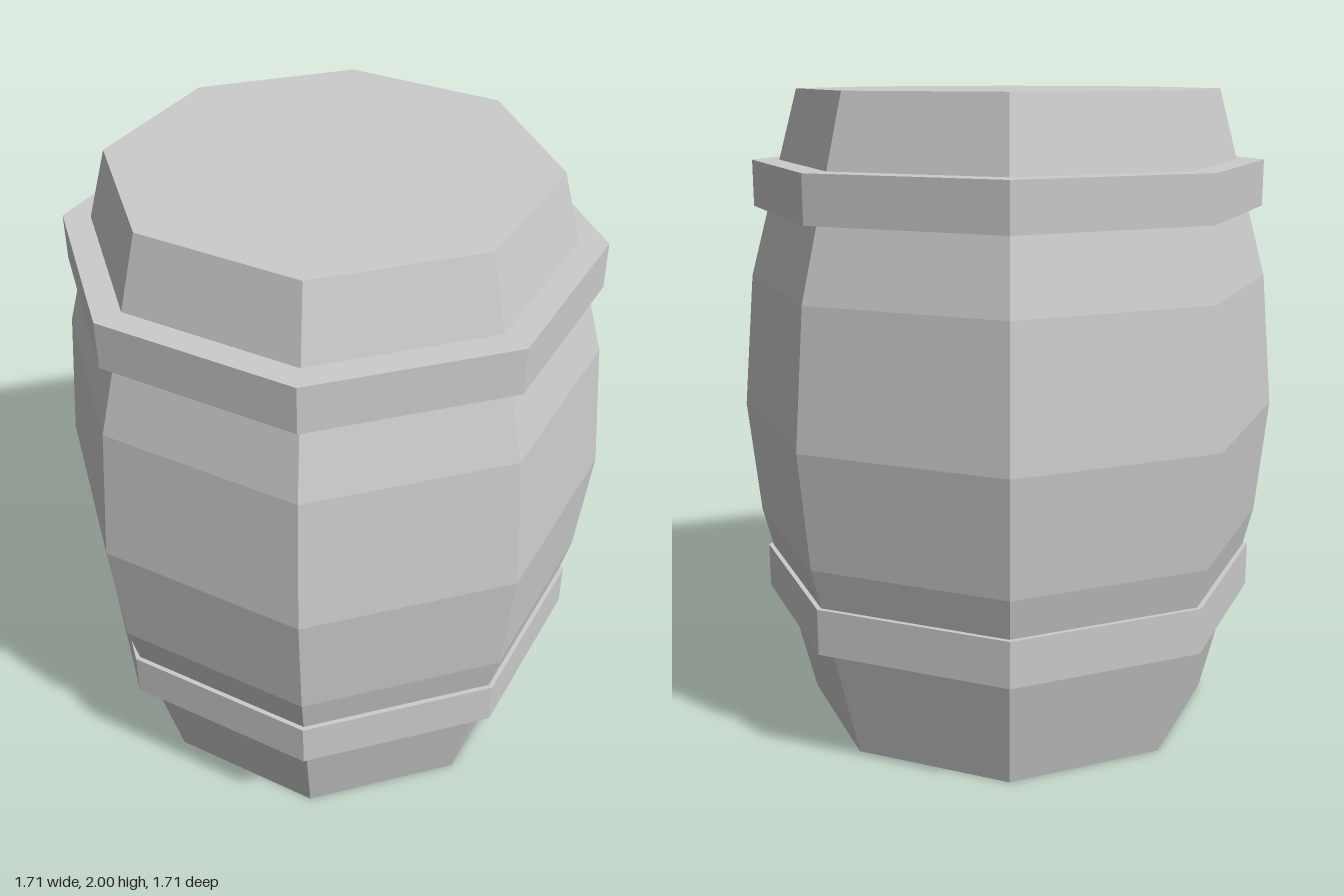
import * as THREE from 'three';

const SIDES = 8;
const material = new THREE.MeshStandardMaterial({ color: 0xcccccc, flatShading: true });

// Eight-sided solid of revolution from [radius, height] pairs, listed bottom to top
function turned(name, profile) {
  const points = profile.map(([r, y]) => new THREE.Vector2(r, y));
  const mesh = new THREE.Mesh(new THREE.LatheGeometry(points, SIDES), material);
  mesh.name = name;
  return mesh;
}

// Straight-walled hoop whose inner edge is sunk into the barrel
function hoop(name, bottom, top) {
  const outer = 0.8, inner = 0.68;
  return turned(name, [
    [inner, bottom], [outer, bottom], [outer, top], [inner, top], [inner, bottom],
  ]);
}

export function createModel() {
  const barrel = new THREE.Group();
  barrel.name = 'barrel';

  // Bulging body with flat closed ends
  barrel.add(turned('body', [
    [0, 0], [0.655, 0], [0.817, 0.64], [0.853, 1], [0.815, 1.42], [0.655, 2], [0, 2],
  ]));

  // Hoops around the body
  barrel.add(hoop('lowerHoop', 0.37, 0.513));
  barrel.add(hoop('upperHoop', 1.64, 1.783));

  return barrel;
}
